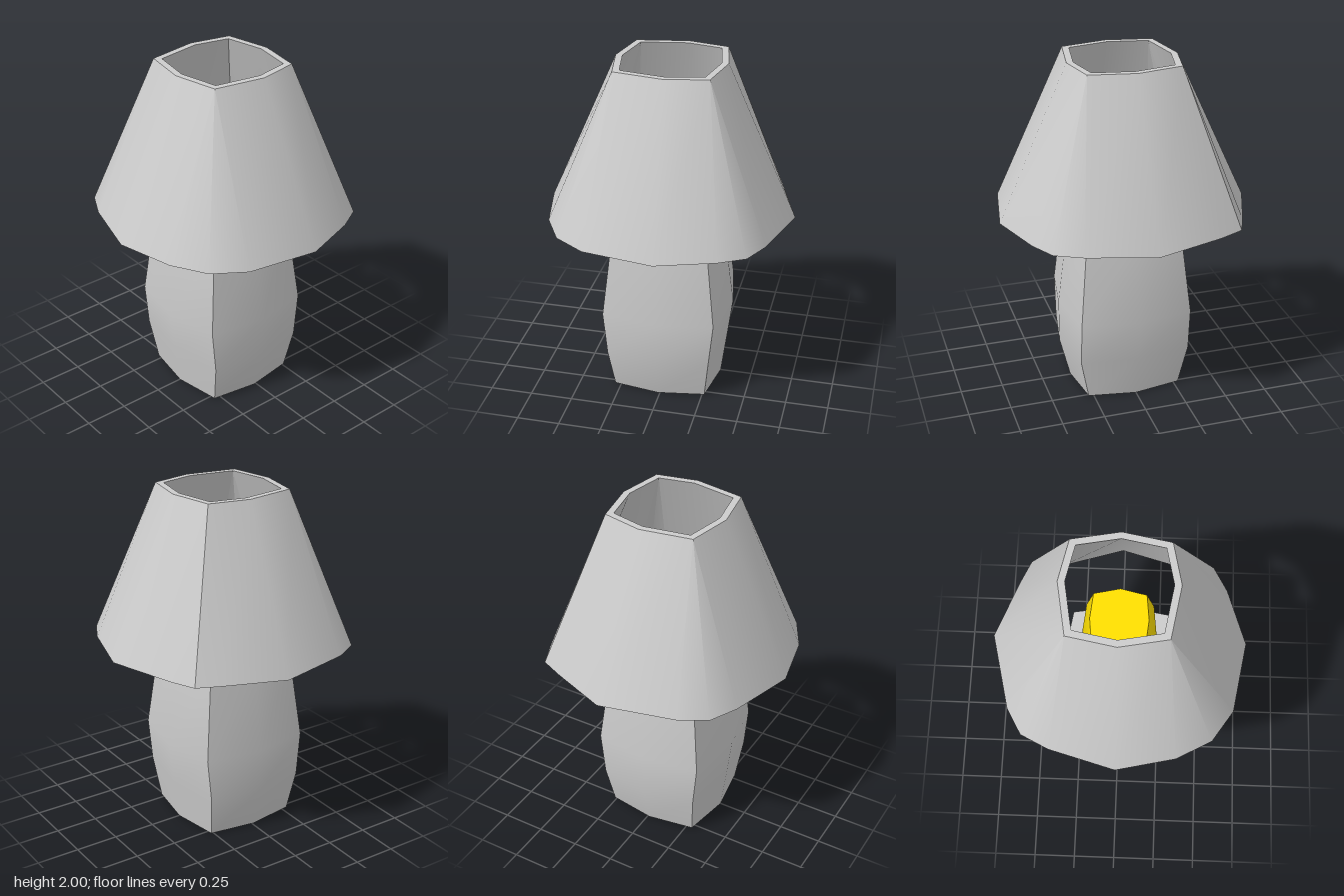
import * as THREE from 'three';
import { toCreasedNormals } from 'three/addons/utils/BufferGeometryUtils.js';

const grey = new THREE.MeshStandardMaterial({ color: 0xcccccc });
const yellow = new THREE.MeshStandardMaterial({ color: 0xffe000 });

// Ring of eight points: a square with its side middles pushed out.
// cx, cz = corner offsets, mx, mz = middle offsets, oz = shift in z.
function bulgedRing(y, cx, cz, mx, mz, oz = 0) {
  return [[mx, 0], [cx, cz], [0, mz], [-cx, cz], [-mx, 0], [-cx, -cz], [0, -mz], [cx, -cz]]
    .map(([x, z]) => new THREE.Vector3(x, y, z + oz));
}

// Skins a stack of rings (running from +x towards +z), with optional flat end caps.
function loft(rings, capped) {
  const pos = [];
  const tri = (a, b, c) => {
    const n = b.clone().sub(a).cross(c.clone().sub(a));
    if (n.length() > 1e-7) for (const p of [a, b, c]) pos.push(p.x, p.y, p.z);
  };
  const n = rings[0].length;
  for (let r = 0; r < rings.length - 1; r++) {
    const lo = rings[r], hi = rings[r + 1];
    for (let i = 0; i < n; i++) {
      const j = (i + 1) % n;
      tri(lo[i], hi[i], lo[j]);
      tri(lo[j], hi[i], hi[j]);
    }
  }
  if (capped) {
    const centre = ring => ring.reduce((s, p) => s.add(p), new THREE.Vector3()).divideScalar(n);
    const bottom = rings[0], top = rings[rings.length - 1];
    const cb = centre(bottom), ct = centre(top);
    for (let i = 0; i < n; i++) {
      const j = (i + 1) % n;
      tri(cb, bottom[i], bottom[j]);
      tri(ct, top[j], top[i]);
    }
  }
  const geo = new THREE.BufferGeometry();
  geo.setAttribute('position', new THREE.Float32BufferAttribute(pos, 3));
  return toCreasedNormals(geo, 0.6);
}

function addPart(group, name, geometry, material) {
  const mesh = new THREE.Mesh(geometry, material);
  mesh.name = name;
  group.add(mesh);
}

export function createModel() {
  const lamp = new THREE.Group();
  lamp.name = 'tableLamp';

  // Barrel-shaped base
  addPart(lamp, 'base', loft([
    bulgedRing(0, 0.28, 0.275, 0.323, 0.322, 0.012),
    bulgedRing(0.25, 0.33, 0.305, 0.385, 0.355, 0.012),
    bulgedRing(0.51, 0.33, 0.33, 0.385, 0.387, 0.011),
    bulgedRing(1.01, 0.28, 0.275, 0.323, 0.322, 0.012),
  ], true), grey);

  // Tapered square socket between base and bulb
  addPart(lamp, 'socket', loft([
    bulgedRing(1.0, 0.145, 0.142, 0.145, 0.142, 0.017),
    bulgedRing(1.2, 0.065, 0.06, 0.065, 0.06, 0.014),
  ], true), grey);

  // Chunky bulb, widest in the middle
  const bulbRing = (y, s) => bulgedRing(y, 0.188 * s, 0.162 * s, 0.205 * s, 0.215 * s, 0.016);
  addPart(lamp, 'bulb', loft([
    bulbRing(1.17, 0.55), bulbRing(1.25, 0.8), bulbRing(1.42, 1),
    bulgedRing(1.62, 0.145, 0.145, 0.16, 0.178, 0.016),
  ], true), yellow);

  // Shade: an uneven sixteen-sided hem that gathers into an eight-sided rim
  const hem = [
    [0.73, -0.06], [0.66, 0.35], [0.54, 0.53], [0.34, 0.64],
    [0, 0.717], [-0.38, 0.61], [-0.54, 0.53], [-0.625, 0.38],
    [-0.73, -0.06], [-0.6, -0.4], [-0.54, -0.535], [-0.4, -0.597],
    [0, -0.722], [0.385, -0.613], [0.54, -0.535], [0.62, -0.39],
  ];
  const hemRing = s => hem.map(([x, z]) => new THREE.Vector3(x * s, 1.105, z * s));
  // Every corner of the rim meets three points of the hem
  const rimRing = (c, m) => hem.map(([x, z], i) => {
    if (i % 8 === 0) return new THREE.Vector3(Math.sign(x) * m, 2, -0.03);
    if (i % 8 === 4) return new THREE.Vector3(0, 2, Math.sign(z) * m);
    return new THREE.Vector3(Math.sign(x) * c, 2, Math.sign(z) * c);
  });
  addPart(lamp, 'shade', loft([
    hemRing(1), rimRing(0.268, 0.319), rimRing(0.235, 0.28), hemRing(0.87), hemRing(1),
  ], false), grey);

  return lamp;
}
